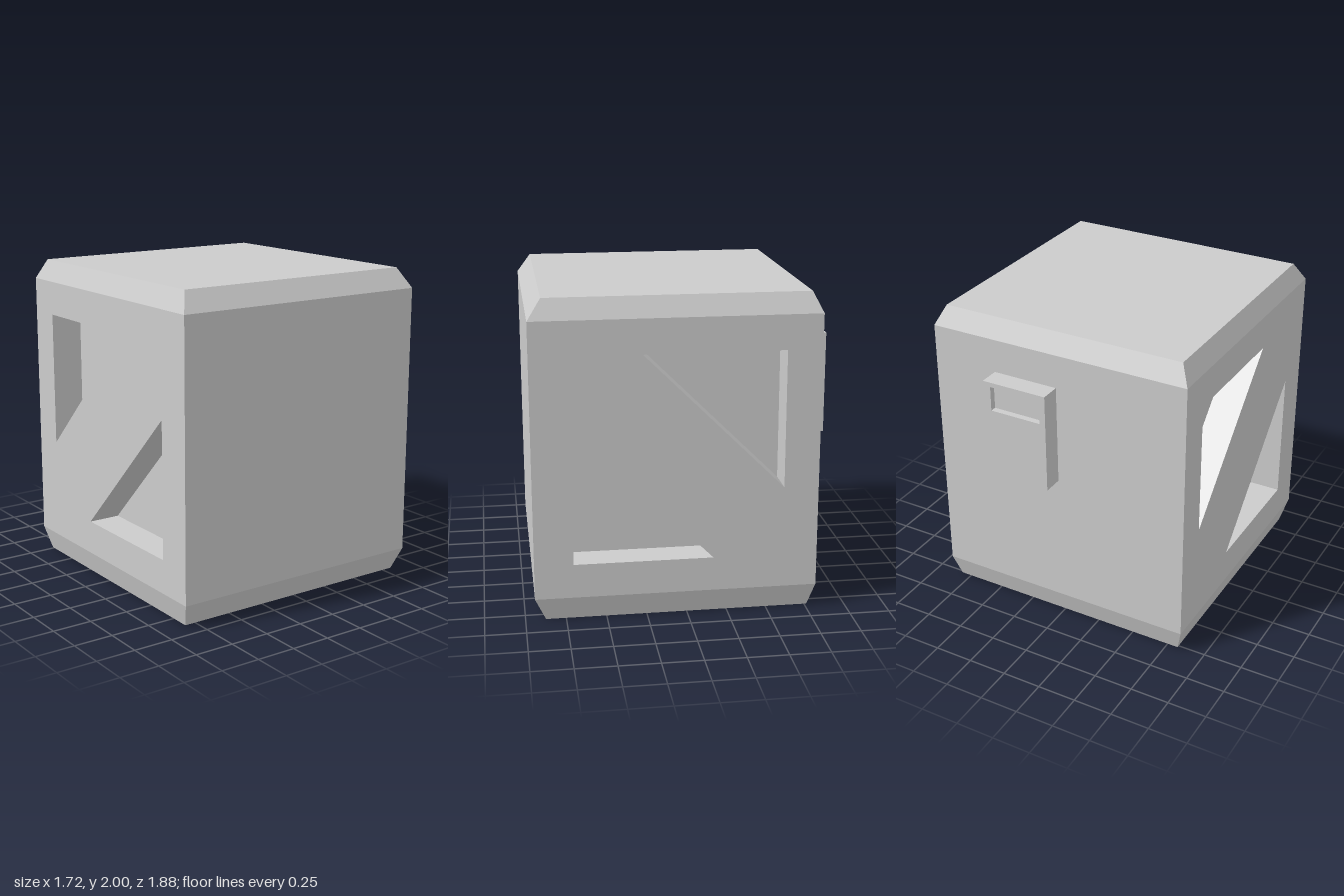
import * as THREE from 'three';

const material = new THREE.MeshStandardMaterial({ color: 0xcccccc, flatShading: true });

function addMesh(parent, name, geometry) {
  const mesh = new THREE.Mesh(geometry, material);
  mesh.name = name;
  parent.add(mesh);
  return mesh;
}

// Geometry from a list of four-cornered faces, corners counter-clockwise
function quads(faces) {
  const points = faces.flatMap(([a, b, c, d]) => [a, b, c, a, c, d]);
  const geometry = new THREE.BufferGeometry();
  geometry.setAttribute('position', new THREE.Float32BufferAttribute(points.flat(), 3));
  geometry.computeVertexNormals();
  return geometry;
}

// Walls running back from an outline; they face into it, or out of it if outward
function walls(outline, depth, outward = false) {
  let loop = outline.map(([x, y]) => new THREE.Vector2(x, y));
  if (THREE.ShapeUtils.isClockWise(loop) !== outward) loop = loop.reverse();
  return quads(loop.map((a, i) => {
    const b = loop[(i + 1) % loop.length];
    return [[a.x, a.y, 0], [b.x, b.y, 0], [b.x, b.y, -depth], [a.x, a.y, -depth]];
  }));
}

const toShape = (outline) => new THREE.Shape(outline.map(([x, y]) => new THREE.Vector2(x, y)));

// Flat face at z = 0 with pockets sunk into it
function pocketedFace(name, outline, pockets, depth) {
  const group = new THREE.Group();
  group.name = name;
  const shape = toShape(outline);
  shape.holes = pockets.map(toShape);
  addMesh(group, name + 'Face', new THREE.ShapeGeometry(shape));
  pockets.forEach((pocket) => {
    addMesh(group, name + 'PocketWalls', walls(pocket, depth));
    addMesh(group, name + 'PocketFloor', new THREE.ShapeGeometry(toShape(pocket))).position.z = -depth;
  });
  return group;
}

const rectangle = (x0, x1, y0, y1) => [[x0, y0], [x1, y0], [x1, y1], [x0, y1]];

export function createModel() {
  const model = new THREE.Group();
  model.name = 'container';

  // Body shell: bevelled base and top; the sides are separate panels
  const rings = [
    [0, 0.82, -0.765, 0.875],
    [0.15, 0.86, -0.81, 0.94],
    [1.875, 0.86, -0.81, 0.94],
    [2, 0.8, -0.75, 0.855],
  ].map(([y, x, back, front]) => [[-x, y, front], [x, y, front], [x, y, back], [-x, y, back]]);
  const faces = [[...rings[0]].reverse(), rings[3]];
  for (let r = 0; r < 3; r++) {
    for (let i = 0; i < 4; i++) {
      if (r === 1 && i % 2 === 1) continue;
      const j = (i + 1) % 4;
      faces.push([rings[r][i], rings[r][j], rings[r + 1][j], rings[r + 1][i]]);
    }
  }
  addMesh(model, 'bodyShell', quads(faces));

  // Side panels with two triangular recesses, as [z, y]
  const panel = rectangle(-0.81, 0.94, 0.15, 1.875);
  const triangles = [
    [[0.27, 1.66], [-0.595, 1.66], [-0.595, 0.8]],
    [[0.7, 1.225], [0.7, 0.365], [-0.16, 0.365]],
  ];
  for (const side of [1, -1]) {
    const place = (outline) => outline.map(([z, y]) => [-side * z, y]);
    const group = pocketedFace(side > 0 ? 'leftPanel' : 'rightPanel', place(panel), triangles.map(place), 0.205);
    group.rotation.y = side * Math.PI / 2;
    group.position.x = side * 0.86;
    model.add(group);
  }

  // Box on the back with a shallow slot near its top
  const boxOutline = rectangle(-0.43, 0, 1.015, 1.66);
  const box = pocketedFace('backBox', boxOutline, [rectangle(-0.38, -0.04, 1.47, 1.63)], 0.04);
  addMesh(box, 'backBoxSides', walls(boxOutline, 0.13, true));
  box.rotation.y = Math.PI;
  box.position.z = -0.94;
  model.add(box);

  return model;
}
